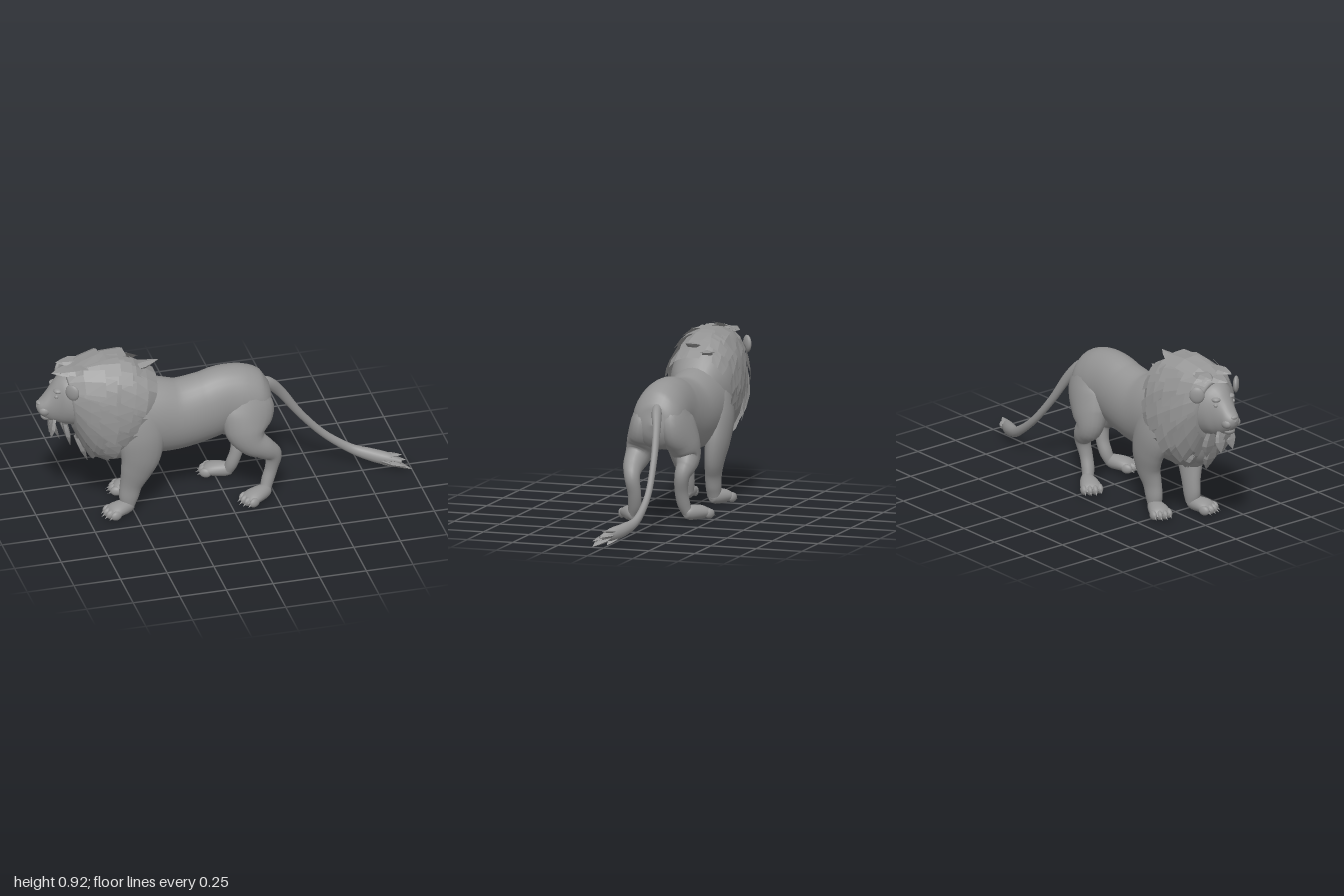
import * as THREE from 'three';
import { mergeGeometries } from 'three/addons/utils/BufferGeometryUtils.js';

const V = (x, y, z) => new THREE.Vector3(x, y, z);
const coat = new THREE.MeshStandardMaterial({ color: 0x949494, side: THREE.DoubleSide });
coat.name = 'grey coat';

// Surface grid from a rule fn(u, v); v wraps when closed
function grid(fn, nu, nv, closed, flat) {
  const pos = [], idx = [], w = closed ? nv : nv + 1;
  for (let i = 0; i <= nu; i++)
    for (let j = 0; j < w; j++) pos.push(...fn(i / nu, j / nv).toArray());
  for (let i = 0; i < nu; i++)
    for (let j = 0; j < nv; j++) {
      const k = (j + 1) % w, a = i * w + j, b = i * w + k, c = a + w, d = b + w;
      idx.push(a, b, c, b, d, c);
    }
  let g = new THREE.BufferGeometry();
  g.setAttribute('position', new THREE.Float32BufferAttribute(pos, 3));
  g.setIndex(idx);
  if (flat) g = g.toNonIndexed();
  g.computeVertexNormals();
  return g;
}

const smooth = pts => new THREE.CatmullRomCurve3(pts, false, 'catmullrom', 0.5);

// Elliptical loft; rows are [x, y, z, radius in the xy plane, radius towards z]
function loft(rows, sides = 20, steps = 5, flat = false) {
  const path = smooth(rows.map(r => V(r[0], r[1], r[2])));
  const rad = smooth(rows.map(r => V(r[3], r[4], 0)));
  return grid((u, v) => {
    const t = path.getTangent(u), r = rad.getPoint(u), a = v * Math.PI * 2;
    const s = V(0, 0, 1).addScaledVector(t, -t.z).normalize();
    const n = s.clone().cross(t);
    return path.getPoint(u)
      .addScaledVector(n, Math.cos(a) * Math.max(r.x, 0.001))
      .addScaledVector(s, Math.sin(a) * Math.max(r.y, 0.001));
  }, (rows.length - 1) * steps, sides, true, flat);
}

// Shell of upright rings; rows are [x, y, radius, half width, lean]; square < 1 fills the corners
function shell(rows, square) {
  const mid = smooth(rows.map(r => V(r[0], r[1], 0)));
  const rad = smooth(rows.map(r => V(r[2], r[3], r[4])));
  return (u, a, lift = 0) => {
    const c = mid.getPoint(u), r = rad.getPoint(u), h = Math.cos(a) * (r.x + lift), s = Math.sin(a);
    return V(c.x + r.z * h, c.y + h, Math.sign(s) * Math.abs(s) ** square * (r.y + lift));
  };
}

// Flattened pointed lock of hair
function lock(p, q, w) {
  const m = p.map((c, i) => (c + q[i]) / 2);
  return loft([[...p, w * 0.3, w * 0.6], [...m, w * 0.35, w], [...q, 0.001, 0.001]], 5, 2, true);
}

function add(parent, name, geometry) {
  const m = new THREE.Mesh(geometry, coat);
  m.name = name;
  parent.add(m);
  return m;
}

function ball(parent, name, p, s) {
  const m = add(parent, name, new THREE.SphereGeometry(1, 16, 12));
  m.position.set(...p);
  m.scale.set(...s);
  return m;
}

// Paw with four toes and claws, pointing to -x and splayed outwards
function paw(parent, name, x, z, length, splay) {
  const g = new THREE.Group();
  g.name = name;
  g.position.set(x, 0, z);
  g.rotation.y = splay;
  add(g, 'pawPad', loft([[0.046, 0.043, 0, 0.001, 0.001], [0.04, 0.044, 0, 0.024, 0.022], [0.01, 0.048, 0, 0.038, 0.038],
    [-length * 0.5, 0.046, 0, 0.037, 0.053], [-length * 0.9, 0.038, 0, 0.027, 0.052], [-length - 0.015, 0.035, 0, 0.004, 0.03]]));
  for (let i = 0; i < 4; i++) {
    const tz = (i - 1.5) * 0.028, tx = -length + Math.abs(i - 1.5) * 0.012;
    ball(g, 'toe', [tx, 0.036, tz], [0.032, 0.026, 0.018]);
    const claw = add(g, 'claw', new THREE.ConeGeometry(0.007, 0.028, 6));
    claw.position.set(tx - 0.034, 0.026, tz);
    claw.rotation.z = 2.1;
  }
  parent.add(g);
}

// Limb whose lower part swings by shift along x
function limb(parent, name, rows, side, shift, top) {
  add(parent, name, loft(rows.map(([x, y, z, a, b]) =>
    [x + shift * THREE.MathUtils.smoothstep(top - y, 0, top - 0.2), y, z * side, a, b])));
}

const maneAt = shell([[-0.81, 0.69, 0.1, 0.07, -0.1], [-0.83, 0.685, 0.165, 0.12, -0.12], [-0.755, 0.65, 0.235, 0.157, 0],
  [-0.65, 0.622, 0.27, 0.178, 0.12], [-0.555, 0.605, 0.257, 0.176, 0.2], [-0.47, 0.6, 0.195, 0.16, 0.25],
  [-0.39, 0.6, 0.12, 0.12, 0.25]], 0.82);

const headAt = shell([[-1, 0.66, 0.002, 0.002, 0], [-0.99, 0.657, 0.028, 0.028, 0], [-0.965, 0.655, 0.056, 0.046, 0],
  [-0.93, 0.665, 0.092, 0.056, 0], [-0.895, 0.682, 0.122, 0.075, 0], [-0.855, 0.69, 0.142, 0.105, 0],
  [-0.79, 0.69, 0.155, 0.125, 0], [-0.7, 0.68, 0.14, 0.1, 0], [-0.66, 0.68, 0.02, 0.02, 0]], 0.95);

export function createModel() {
  const lion = new THREE.Group();
  lion.name = 'lion';
  let seed = 7;
  const rnd = () => (seed = (seed * 16807) % 2147483647) / 2147483647;

  add(lion, 'body', loft([[-0.8, 0.56, 0, 0.04, 0.04], [-0.74, 0.55, 0, 0.15, 0.11], [-0.64, 0.53, 0, 0.215, 0.15],
    [-0.52, 0.525, 0, 0.225, 0.165], [-0.4, 0.52, 0, 0.215, 0.16], [-0.25, 0.505, 0, 0.197, 0.148],
    [-0.1, 0.53, 0, 0.19, 0.138], [0, 0.56, 0, 0.184, 0.134], [0.1, 0.553, 0, 0.18, 0.138],
    [0.185, 0.535, 0, 0.148, 0.13], [0.235, 0.53, 0, 0.1, 0.09], [0.262, 0.53, 0, 0.002, 0.002]], 32));

  // Legs: the left pair is stretched, the right pair is gathered
  for (const side of [1, -1]) {
    const label = side > 0 ? 'Left' : 'Right';
    const hs = side > 0 ? 0 : -0.13, fs = side > 0 ? 0 : 0.09;
    limb(lion, 'hindLeg' + label, [[0.1, 0.7, 0.045, 0.01, 0.01], [0.105, 0.65, 0.055, 0.075, 0.05],
      [0.11, 0.53, 0.077, 0.144, 0.078], [0.1, 0.42, 0.106, 0.118, 0.08], [0.125, 0.35, 0.124, 0.082, 0.066],
      [0.19, 0.3, 0.128, 0.06, 0.052], [0.24, 0.25, 0.116, 0.046, 0.04], [0.234, 0.17, 0.106, 0.034, 0.035],
      [0.212, 0.1, 0.111, 0.033, 0.034], [0.195, 0.05, 0.125, 0.028, 0.028]], side, hs, 0.52);
    paw(lion, 'hindPaw' + label, 0.178 + hs, 0.14 * side, 0.11, side * 0.45);
    limb(lion, 'frontLeg' + label, [[-0.5, 0.68, 0.07, 0.01, 0.01], [-0.49, 0.61, 0.09, 0.1, 0.06],
      [-0.47, 0.48, 0.112, 0.125, 0.07], [-0.468, 0.36, 0.118, 0.11, 0.06], [-0.49, 0.26, 0.108, 0.086, 0.05],
      [-0.515, 0.17, 0.093, 0.061, 0.042], [-0.527, 0.1, 0.09, 0.052, 0.04], [-0.53, 0.05, 0.09, 0.036, 0.034]], side, fs, 0.52);
    paw(lion, 'frontPaw' + label, -0.545 + fs, 0.098 * side, 0.1, side * 0.3);
  }

  // Head and face
  add(lion, 'head', grid((u, v) => headAt(u, v * Math.PI * 2), 40, 28, true));
  ball(lion, 'nose', [-0.984, 0.68, 0], [0.015, 0.012, 0.022]);
  ball(lion, 'chin', [-0.945, 0.598, 0], [0.03, 0.022, 0.032]);
  for (const s of [1, -1]) {
    ball(lion, 'muzzleCheek', [-0.957, 0.645, 0.028 * s], [0.034, 0.028, 0.025]);
    ball(lion, 'eye', [-0.905, 0.735, 0.057 * s], [0.011, 0.01, 0.011]);
    ball(lion, 'brow', [-0.893, 0.762, 0.045 * s], [0.025, 0.014, 0.025]);
    ball(lion, 'ear', [-0.84, 0.79, 0.13 * s], [0.016, 0.045, 0.04]).rotation.y = s * 0.8;
  }

  // Mane shell with large overlapping flat cards of hair
  add(lion, 'maneBase', grid((u, v) => maneAt(u, v * Math.PI * 2), 24, 28, true));
  const cards = [];
  for (let row = 0; row < 5; row++)
    for (let i = 0; i < 10; i++) {
      const a0 = ((i + (row % 2) / 2 + (rnd() - 0.5) * 0.6) / 10) * Math.PI * 2;
      const u0 = 0.15 + row * 0.12 + rnd() * 0.07, len = 0.2 + rnd() * 0.1;
      const half = 0.27 + rnd() * 0.13, flare = 0.008 + rnd() * 0.03, drift = 0.25 * Math.sin(a0);
      cards.push(grid((u, v) => maneAt(Math.min(u0 + u * len, 0.95),
        a0 + drift * u + (v - 0.5) * 2 * half * (1 - 0.2 * u), 0.005 + flare * u), 2, 2, false, true));
    }
  add(lion, 'maneCards', mergeGeometries(cards));

  // Loose locks: crown, nape, beard and chest
  const locks = [
    [[-0.76, 0.85, 0], [-0.92, 0.85, 0.01], 0.06], [[-0.74, 0.87, 0.05], [-0.89, 0.875, 0.06], 0.05],
    [[-0.74, 0.87, -0.05], [-0.88, 0.87, -0.06], 0.05], [[-0.5, 0.82, 0.02], [-0.355, 0.86, 0.03], 0.04],
    [[-0.5, 0.79, -0.04], [-0.38, 0.81, -0.06], 0.045],
    [[-0.935, 0.6, 0], [-0.875, 0.45, 0], 0.04], [[-0.91, 0.59, 0.03], [-0.93, 0.48, 0.035], 0.035],
    [[-0.91, 0.59, -0.03], [-0.92, 0.47, -0.035], 0.035], [[-0.86, 0.57, 0.05], [-0.83, 0.43, 0.05], 0.045],
    [[-0.86, 0.57, -0.05], [-0.82, 0.42, -0.05], 0.045], [[-0.79, 0.46, 0.02], [-0.73, 0.31, 0.02], 0.045],
    [[-0.75, 0.42, -0.06], [-0.69, 0.33, -0.07], 0.045], [[-0.68, 0.38, 0], [-0.58, 0.28, 0], 0.06]];
  add(lion, 'maneLocks', mergeGeometries(locks.map(l => lock(...l))));

  // Tail with a tufted end
  add(lion, 'tail', loft([[0.2, 0.63, -0.012, 0.02, 0.02], [0.255, 0.595, -0.025, 0.032, 0.026], [0.33, 0.51, -0.05, 0.027, 0.02],
    [0.43, 0.365, -0.07, 0.021, 0.017], [0.56, 0.215, -0.085, 0.02, 0.017], [0.7, 0.11, -0.075, 0.025, 0.02],
    [0.8, 0.075, -0.04, 0.034, 0.029], [0.88, 0.06, 0, 0.034, 0.03], [0.95, 0.05, 0.035, 0.012, 0.012]], 14));
  const tuft = [[[0.86, 0.062, 0], [1, 0.012, 0.06], 0.036], [[0.84, 0.07, -0.02], [0.955, 0.085, 0.025], 0.028],
    [[0.85, 0.055, 0], [0.97, 0.035, 0.07], 0.032], [[0.85, 0.06, -0.01], [0.975, 0.055, 0.03], 0.034],
    [[0.82, 0.055, -0.02], [0.92, 0.01, 0.01], 0.026]];
  add(lion, 'tailTuft', mergeGeometries(tuft.map(l => lock(...l))));
  return lion;
}
